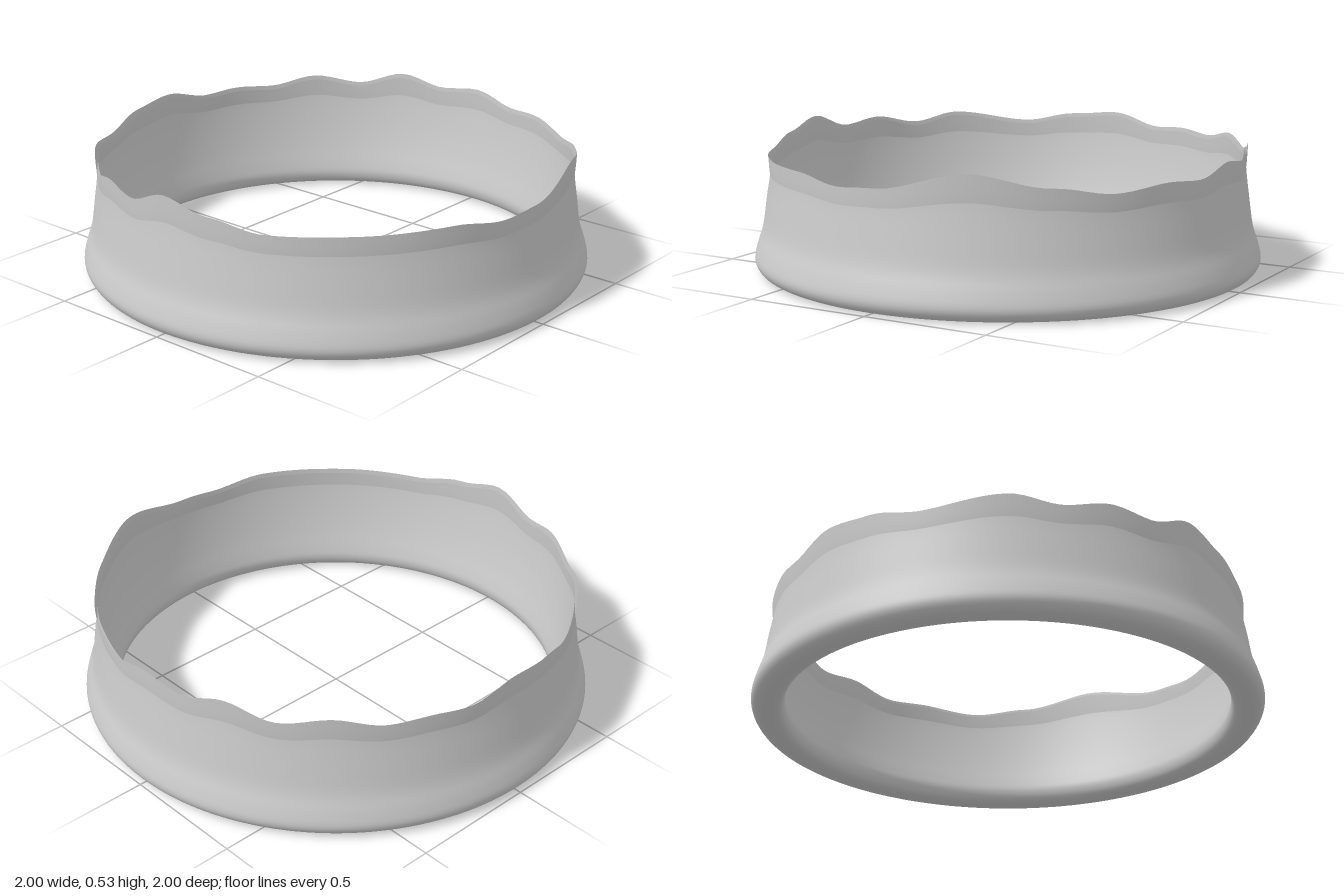
import * as THREE from 'three';

// Height of the wavy rim around the ring: [angle in degrees from the front, height]
const RIM = [
  [0, 0.45], [22, 0.52], [40, 0.47], [54, 0.44], [68, 0.46], [78, 0.45],
  [90, 0.49], [101, 0.47], [112, 0.51], [124, 0.46], [136, 0.49], [148, 0.455],
  [158, 0.465], [167, 0.455], [180, 0.5], [192, 0.485], [205, 0.45], [225, 0.49],
  [236, 0.455], [248, 0.49], [258, 0.47], [270, 0.53], [282, 0.49], [295, 0.455],
  [315, 0.46], [337, 0.465], [350, 0.44], [360, 0.45],
];

function rimHeight(angle) {
  const d = ((THREE.MathUtils.radToDeg(angle) % 360) + 360) % 360;
  const i = RIM.findIndex((p, k) => k > 0 && d <= p[0]);
  const [a0, h0] = RIM[i - 1], [a1, h1] = RIM[i];
  return THREE.MathUtils.lerp(h0, h1, THREE.MathUtils.smoothstep(d, a0, a1));
}

export function createModel() {
  const group = new THREE.Group();
  group.name = 'wavyRing';

  // Section: down the flared inner wall, round the foot, up the outer wall.
  // The two walls cross just below the rim.
  const section = [
    [0.94, 0.5], [0.934, 0.4], [0.917, 0.28], [0.897, 0.18], [0.877, 0.1],
    [0.87, 0.055], [0.884, 0.018], [0.92, 0.003], [0.955, 0.004], [0.985, 0.02],
    [1.0, 0.055], [0.988, 0.11], [0.966, 0.18], [0.951, 0.28], [0.936, 0.4], [0.929, 0.5],
  ].map(([r, y]) => new THREE.Vector2(r, y));
  const profile = new THREE.SplineCurve(section).getPoints(60);
  profile.forEach((p) => { p.x = Math.min(p.x, 1); p.y = Math.max(p.y, 0); });

  // Stretch the upper part of both walls to the wavy rim; the outer wall is a little lower
  const geometry = new THREE.LatheGeometry(profile, 180);
  const pos = geometry.attributes.position;
  const base = 0.3;
  for (let i = 0; i < pos.count; i++) {
    const y = pos.getY(i);
    if (y <= base) continue;
    const outer = i % profile.length > profile.length / 2;
    const h = rimHeight(Math.atan2(pos.getX(i), pos.getZ(i))) - (outer ? 0.015 : 0);
    pos.setY(i, base + (y - base) * (h - base) / 0.2);
  }

  const ring = new THREE.Mesh(
    geometry,
    new THREE.MeshStandardMaterial({ color: 0xcccccc, side: THREE.DoubleSide }),
  );
  ring.name = 'ringWall';
  group.add(ring);
  return group;
}
